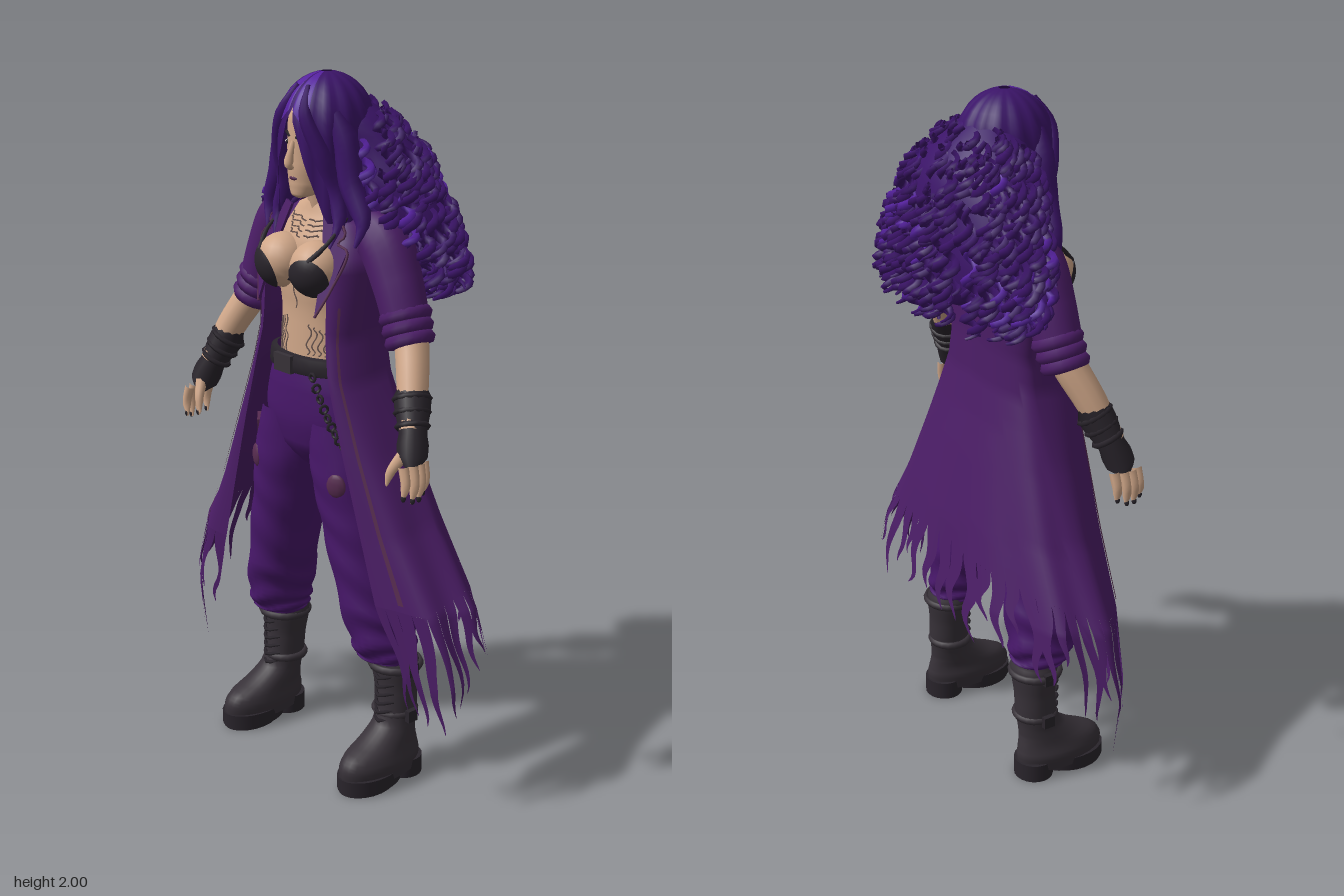
import * as THREE from 'three';
import { mergeGeometries } from 'three/addons/utils/BufferGeometryUtils.js';
import { ParametricGeometry } from 'three/addons/geometries/ParametricGeometry.js';

const V = (x, y, z) => new THREE.Vector3(x, y, z);
const { lerp, clamp } = THREE.MathUtils;

const mat = (name, color, side = THREE.FrontSide) => {
  const m = new THREE.MeshStandardMaterial({ color, side });
  m.name = name;
  return m;
};

// small seeded random
let seed = 7;
const rnd = (a = 0, b = 1) => {
  seed = (seed * 16807) % 2147483647;
  return a + (b - a) * (seed / 2147483647);
};

// value from evenly spaced keys, t in 0..1
const keyed = (keys, t) => {
  const f = clamp(t, 0, 1) * (keys.length - 1), i = Math.min(Math.floor(f), keys.length - 2);
  return lerp(keys[i], keys[i + 1], f - i);
};

// tube along a curve with a varying radius
function taper(pts, radii, seg = 14, rad = 8) {
  const curve = new THREE.CatmullRomCurve3(pts);
  const g = new THREE.TubeGeometry(curve, seg, 1, rad), p = g.attributes.position, q = V();
  for (let i = 0; i < p.count; i++) {
    const t = Math.floor(i / (rad + 1)) / seg, c = curve.getPointAt(t);
    q.fromBufferAttribute(p, i).sub(c).multiplyScalar(keyed(radii, t)).add(c);
    p.setXYZ(i, q.x, q.y, q.z);
  }
  return g;
}

// smooth surface through elliptical rings [y, cx, cz, rx, rz], bottom to top
function loftFn(rows, fold = 0) {
  const A = new THREE.CatmullRomCurve3(rows.map(r => V(r[1], r[0], r[2])));
  const B = new THREE.CatmullRomCurve3(rows.map(r => V(r[3], r[4], 0)));
  return (u, v, t) => {
    const c = A.getPoint(v), r = B.getPoint(v), a = u * Math.PI * 2;
    const k = 1 + fold * (1 - v) * Math.sin(v * 46 + Math.sin(a * 2 + v * 9) * 2);
    return t.set(c.x + r.x * k * Math.sin(a), c.y, c.z + r.y * k * Math.cos(a));
  };
}
const loft = (rows, nu = 24, nv = 20, fold = 0) => new ParametricGeometry(loftFn(rows, fold), nu, nv);

// coat section by height: [y, side width, front z, back z, front edge x]
const COAT = [
  [1.65, .08, .09, -.03, .07], [1.6, .18, .12, -.04, .085], [1.5, .21, .17, -.05, .125], [1.3, .19, .18, -.05, .13],
  [1.2, .21, .19, -.055, .15], [1.1, .255, .19, -.075, .18], [1, .3, .19, -.1, .21], [.8, .4, .185, -.145, .27],
  [.6, .53, .18, -.18, .33], [.4, .6, .16, -.2, .4], [.1, .59, .12, -.2, .42]];
// s runs from 1 (left front edge) through 0 (middle of the back) to -1
function coatAt(s, y, t, out = 0) {
  let i = 0;
  while (i < COAT.length - 2 && y < COAT[i + 1][0]) i++;
  const a = COAT[i], b = COAT[i + 1], k = clamp((a[0] - y) / (a[0] - b[0]), 0, 1);
  const [, W, zf, zb, xe] = a.map((n, j) => lerp(n, b[j], k));
  const m = Math.abs(s), zm = .03, h = Math.PI / 2;
  let x, z;
  if (m < .6) {
    x = W * Math.sin(m / .6 * h);
    z = zm + (zb - zm) * Math.cos(m / .6 * h);
  } else {
    const f = (m - .6) / .4 * h;
    x = xe + (W - xe) * Math.cos(f);
    z = zm + (zf - zm) * Math.sin(f);
  }
  const wave = 1 + .04 * clamp(1.2 - y, 0, .6) * Math.sin(s * 26) + out;
  return t.set(x * Math.sign(s) * wave, y, z * wave + out * .3);
}
const hem = s => keyed([.74, .71, .68, .64, .6, .6], Math.abs(s));

export function createModel() {
  const root = new THREE.Group();
  root.name = 'curlyHairedWanderer';
  const D = THREE.DoubleSide;
  const M = {
    hair: mat('hair purple', 0x3b1468, D), shine: mat('hair highlight', 0x54219c, D), coat: mat('coat purple', 0x4b1d66, D),
    pants: mat('trouser purple', 0x471769), skin: mat('skin', 0xcfa688), leather: mat('dark leather', 0x29242b),
    boot: mat('boot charcoal', 0x373138), trim: mat('faded plum', 0x572c50, D), ink: mat('ink', 0x75605a),
    eye: mat('eye white', 0xe2dcd6) };
  const add = (name, geo, m, pos, scale, rot) => {
    const o = new THREE.Mesh(geo, m);
    o.name = name;
    if (pos) o.position.set(...pos);
    if (scale) o.scale.set(...scale);
    if (rot) o.rotation.set(...rot);
    root.add(o);
    return o;
  };
  const ball = (r = 1, n = 10) => new THREE.SphereGeometry(r, n, n * .7);

  // torso, neck and head
  const TORSO = [[1.15, 0, .075, .15, .1], [1.25, 0, .075, .135, .098], [1.35, 0, .075, .13, .095],
    [1.45, 0, .07, .15, .105], [1.55, 0, .06, .165, .095], [1.61, 0, .05, .15, .075], [1.66, 0, .055, .05, .05]];
  add('torso', loft(TORSO), M.skin);
  add('neck', taper([V(0, 1.58, .05), V(0, 1.65, .065), V(0, 1.75, .085)], [.062, .046, .05]), M.skin);
  add('head', loft([[1.672, 0, .155, .008, .008], [1.68, 0, .14, .032, .036], [1.71, 0, .11, .055, .07],
    [1.75, 0, .092, .067, .09], [1.82, 0, .083, .074, .096], [1.89, 0, .075, .075, .1], [1.94, 0, .07, .05, .06]]), M.skin);
  add('nose', taper([V(0, 1.825, .176), V(0, 1.785, .19), V(0, 1.762, .193), V(0, 1.755, .178)], [.006, .009, .013, .006]), M.skin);
  add('lips', ball(), M.trim, [0, 1.727, .171], [.02, .008, .012]);

  // ink lines on chest and belly
  const skinAt = loftFn(TORSO), ink = [];
  const line = (u0, v0, du, dv, w) => {
    const pts = [];
    for (let i = 0; i <= 10; i++) {
      const t = i / 10;
      pts.push(skinAt(u0 + du * t + w * Math.sin(t * 12), v0 + dv * t + w * Math.cos(t * 9), V()));
    }
    ink.push(new THREE.TubeGeometry(new THREE.CatmullRomCurve3(pts), 16, .0026, 3));
  };
  for (const s of [1, -1]) {
    for (let i = 0; i < 4; i++) line(s * .005, .70 + i * .04, s * (.06 + i * .012), .03, s * .009);
    for (let i = 0; i < 4; i++) line(s * (.05 + i * .022), .15, s * .012, .16 - i * .01, s * .009);
  }
  line(0, .36, 0, .26, .006);
  add('inkMarks', mergeGeometries(ink), M.ink);

  // trousers seat, belt, chain and pouches
  add('trouserSeat', loft([[.91, 0, .075, .05, .06], [.97, 0, .078, .16, .1], [1.06, 0, .08, .195, .117],
    [1.14, 0, .08, .18, .116], [1.215, 0, .08, .155, .106]]), M.pants);
  add('belt', loft([[1.19, 0, .08, .16, .108], [1.195, 0, .08, .172, .12], [1.237, 0, .08, .165, .118], [1.242, 0, .08, .15, .1]], 28, 6), M.leather);
  add('buckle', new THREE.BoxGeometry(.07, .05, .014), M.boot, [-.02, 1.215, .2]);
  for (let i = 0; i < 11; i++) {
    const t = i / 10;
    add('chainLink', new THREE.TorusGeometry(.011, .0045, 5, 8), M.leather,
      [.1 + .12 * t, 1.2 - .2 * t - .03 * Math.sin(t * 3.14), .2 - .03 * t], null, [0, (i % 2) * 1.2, .5]);
  }
  add('thighPouch', new THREE.BoxGeometry(.06, .09, .03), M.trim, [-.215, .95, .12], null, [0, -.7, -.08]);
  add('hipPouch', new THREE.BoxGeometry(.06, .1, .03), M.trim, [.215, 1.03, .13], null, [0, .7, .08]);

  for (const s of [1, -1]) {
    const P = (x, y, z) => V(x * s, y, z);
    // face details
    add('eye', ball(), M.eye, [s * .031, 1.82, .164], [.014, .006, .008]);
    add('iris', ball(), M.leather, [s * .03, 1.82, .17], [.006, .006, .004]);
    add('brow', taper([P(.012, 1.835, .177), P(.033, 1.846, .17), P(.054, 1.84, .15)], [.004, .005, .002], 8, 5), M.leather);

    // bust and top
    add('breast', ball(.076, 20), M.skin, [s * .07, 1.49, .155]);
    const cup = add('topCup', new THREE.SphereGeometry(.08, 20, 6, 0, Math.PI * 2, 0, .86), M.leather, [s * .07, 1.49, .155]);
    cup.quaternion.setFromUnitVectors(V(0, 1, 0), P(.32, -.35, .85).normalize());
    add('topStrap', taper([P(.1, 1.52, .215), P(.125, 1.57, .165), P(.12, 1.63, .09)], [.008, .005, .005]), M.leather);
    add('topBand', taper([P(0, 1.455, .18), P(.08, 1.44, .18), P(.15, 1.45, .09)], [.006, .01, .01]), M.leather);

    // leg
    add('trouserLeg', loft([[.36, s * .235, .03, .062, .06], [.38, s * .232, .04, .08, .085], [.43, s * .226, .048, .09, .1],
      [.55, s * .2, .06, .096, .108], [.75, s * .155, .075, .1, .108], [.92, s * .12, .082, .108, .112], [1.06, s * .1, .08, .092, .108]],
      24, 44, .07), M.pants);
    add('kneePatch', ball(), M.trim, [s * .17, .9, .178], [.03, .035, .012], [0, s * .4, 0]);

    // boot
    add('boot', loft([[.03, s * .262, .095, .068, .138], [.07, s * .262, .094, .072, .142], [.1, s * .26, .088, .066, .132],
      [.135, s * .256, .055, .06, .092], [.18, s * .252, .024, .057, .064], [.27, s * .246, .016, .062, .06],
      [.35, s * .24, .016, .073, .068], [.375, s * .238, .016, .066, .06]], 24, 24), M.boot);
    add('sole', new THREE.CylinderGeometry(1, 1, .04, 24), M.leather, [s * .263, .03, .135], [.072, 1, .105]);
    add('heel', new THREE.CylinderGeometry(1, 1, .055, 20), M.leather, [s * .262, .0275, .005], [.06, 1, .057]);
    add('toeTread', new THREE.CylinderGeometry(1, 1, .02, 20), M.leather, [s * .263, .01, .145], [.065, 1, .09]);
    for (const [y, r] of [[.2, .06], [.345, .073]]) {
      add('bootStrap', new THREE.TorusGeometry(r, .009, 6, 20), M.boot, [s * .245, y, .018], [1, .98, 1.3], [Math.PI / 2, 0, 0]);
      add('bootBuckle', new THREE.BoxGeometry(.016, .035, .035), M.leather, [s * (.313 + y * .015), y, .02]);
    }
    for (let i = 0; i < 6; i++)
      add('lace', taper([P(.215, .19 + i * .027, .065), P(.25, .182 + i * .027, .09), P(.285, .19 + i * .027, .06)], [.005, .006, .005], 6, 5), M.leather);

    // arm, rolled sleeve, glove and fingers
    add('forearm', taper([P(.29, 1.42, .04), P(.325, 1.34, .05), P(.375, 1.24, .09), P(.425, 1.12, .14)], [.046, .047, .043, .032], 14, 12), M.skin);
    add('sleeve', taper([P(.13, 1.6, .03), P(.2, 1.57, .035), P(.26, 1.47, .04), P(.305, 1.36, .045)], [.05, .078, .073, .068, .064], 16, 14), M.coat);
    for (let i = 0; i < 3; i++) {
      const roll = add('sleeveRoll', new THREE.TorusGeometry(.054 - i * .002, .02, 7, 20), M.coat, [s * (.295 + i * .013), 1.385 - i * .03, .042 + i * .004]);
      roll.quaternion.setFromUnitVectors(V(0, 0, 1), P(.4, -.9, .08).normalize());
    }
    add('glove', taper([P(.37, 1.225, .088), P(.385, 1.2, .1), P(.425, 1.11, .135), P(.445, 1.05, .155), P(.452, 1.02, .162)],
      [.03, .05, .049, .043, .037, .043, .04, .012], 20, 12), M.leather);
    for (let i = 0; i < 3; i++) {
      const band = add('gloveFold', new THREE.TorusGeometry(.047 - i * .003, .008, 5, 16), M.leather, [s * (.388 + i * .014), 1.19 - i * .032, .104 + i * .012]);
      band.quaternion.setFromUnitVectors(V(0, 0, 1), P(.4, -.85, .33).normalize());
    }
    for (let i = 0; i < 4; i++) {
      const z = .125 + i * .024, x = .455 + .012 * Math.sin(i), tip = .935 + Math.abs(i - 1.5) * .01;
      add('finger', taper([P(x, 1.04, z), P(x + .012, .99, z + .004), P(x + .004, tip, z + .008)], [.015, .014, .012, .003], 9, 7), M.skin);
      add('nail', ball(1, 8), M.leather, [s * (x + .008), tip + .008, z + .008], [.007, .011, .007]);
    }
    add('thumb', taper([P(.43, 1.06, .175), P(.41, 1.015, .2), P(.4, .975, .205)], [.018, .015, .012, .003], 9, 7), M.skin);

    // lapel
    const edge = [[.1, .16], [.155, .1], [.135, .075], [.175, .06], [.15, -.05], [.118, -.13]];
    const shape = new THREE.Shape([[.065, .15], ...edge, [.105, 0]].map(p => new THREE.Vector2(p[0] * s, p[1])));
    const tilt = [-.32, s * .15, 0];
    add('lapel', new THREE.ExtrudeGeometry(shape, { depth: .008, bevelEnabled: false }), M.coat, [0, 1.5, .178], null, tilt);
    add('lapelTrim', taper(edge.map(p => P(p[0], p[1], .006)), [.004, .004], 24, 5), M.trim, [0, 1.5, .178], null, tilt);

    // seam beside the coat's front edge
    add('coatSeam', new ParametricGeometry((u, v, t) => coatAt(s * (.86 + .02 * u), lerp(.62, 1.4, v), t, .008), 1, 30), M.trim);

    // locks framing the face
    add('frontLock', taper([P(.02, 1.97, .14), P(.045, 1.9, .172), P(.083, 1.8, .15), P(.1, 1.7, .12), P(.125, 1.62, .125), P(.115, 1.55, .15)],
      [.006, .02, .026, .026, .02, .004], 20, 8), M.hair);
    add('sideLock', taper([P(.07, 1.93, .11), P(.12, 1.83, .1), P(.145, 1.72, .1), P(.19, 1.62, .1), P(.18, 1.56, .12)],
      [.015, .035, .035, .028, .004], 20, 8), M.hair);
  }

  // coat body with a torn hem of tapering ribbons
  add('coat', new ParametricGeometry((u, v, t) => {
    const s = 1 - 2 * u;
    return coatAt(s, lerp(hem(s), 1.65, v), t);
  }, 90, 26), M.coat);
  const ribbons = [], N = 38;
  for (let i = 0; i < N; i++) {
    const w = 2 / N, sc = 1 - w * (i + .5), m = Math.abs(sc);
    const tip = keyed([.5, .47, .44, .36, .2, .36], m) + rnd(-.03, .12), bend = rnd(.012, .03), ph = rnd(0, 6);
    ribbons.push(new ParametricGeometry((u, v, t) => {
      const k = 1 - v, width = w * (.04 + .96 * Math.pow(v, .75));
      const s = clamp(sc + (.5 - u) * width + bend * (Math.sin(k * 7 + ph) - Math.sin(ph)) * k, -1, 1);
      return coatAt(s, lerp(tip, hem(s), v), t);
    }, 3, 12));
  }
  add('tornHem', mergeGeometries(ribbons), M.coat);

  // hair cap, parted in the middle and open over the face
  const capGeo = (a0, a1, grow, nu) => new ParametricGeometry((u, v, t) => {
    const a = lerp(a0, a1, u), b = Math.abs(a);
    const low = grow ? 1.915 - .12 * b : 1.915 - .3 * Math.min(1, b / .85);
    const y = lerp(low, 1.999, 1 - (1 - v) ** 2), q = Math.max(0, (y - 1.85) / .15);
    const k = Math.sqrt(Math.max(.0004, 1 - q * q)) * (1 + .02 * Math.cos(a * 14) - .05 * Math.exp(-((a / .07) ** 2))) + grow;
    return t.set(.128 * k * Math.sin(a), y, .058 + .135 * k * Math.cos(a));
  }, nu, 14);
  add('hairCap', capGeo(-Math.PI, Math.PI, 0, 64), M.hair);
  add('hairShineLeft', capGeo(.06, .5, .02, 8), M.shine);
  add('hairShineRight', capGeo(-.5, -.06, .02, 8), M.shine);

  // hair volume covered in hanging curls
  const HAIR = [[1.46, 0, -.13, .12, .04], [1.52, 0, -.12, .27, .075], [1.6, 0, -.08, .31, .12], [1.7, 0, -.055, .27, .135],
    [1.8, 0, -.04, .21, .125], [1.88, 0, 0, .14, .105], [1.94, 0, .03, .06, .06]];
  add('hairVolume', loft(HAIR, 28, 16), M.hair);
  const hairAt = loftFn(HAIR), curls = [];
  while (curls.length < 310) {
    const u = rnd(), p = hairAt(u, rnd(.12, .93), V());
    if (Math.abs(p.x) < .13 && p.z > 0) continue;
    const a = u * Math.PI * 2, len = Math.min(rnd(.1, .17), p.y - 1.41), ph = rnd(0, 6.28), turn = rnd(11, 15), pts = [];
    for (let i = 0; i <= 14; i++) {
      const t = i / 14, r = .012 + .012 * t, out = .006 + .028 * Math.sin(t * 2.2);
      pts.push(V(p.x + Math.sin(a) * out * 1.5 + r * Math.cos(ph + turn * t), p.y + .01 - len * t,
        p.z + Math.cos(a) * out * .6 + r * Math.sin(ph + turn * t)));
    }
    curls.push(taper(pts, [.008, .013, .012, .011, .004], 18, 4));
  }
  add('curls', mergeGeometries(curls.slice(0, 285)), M.hair);
  add('brightCurls', mergeGeometries(curls.slice(285)), M.shine);
  return root;
}
